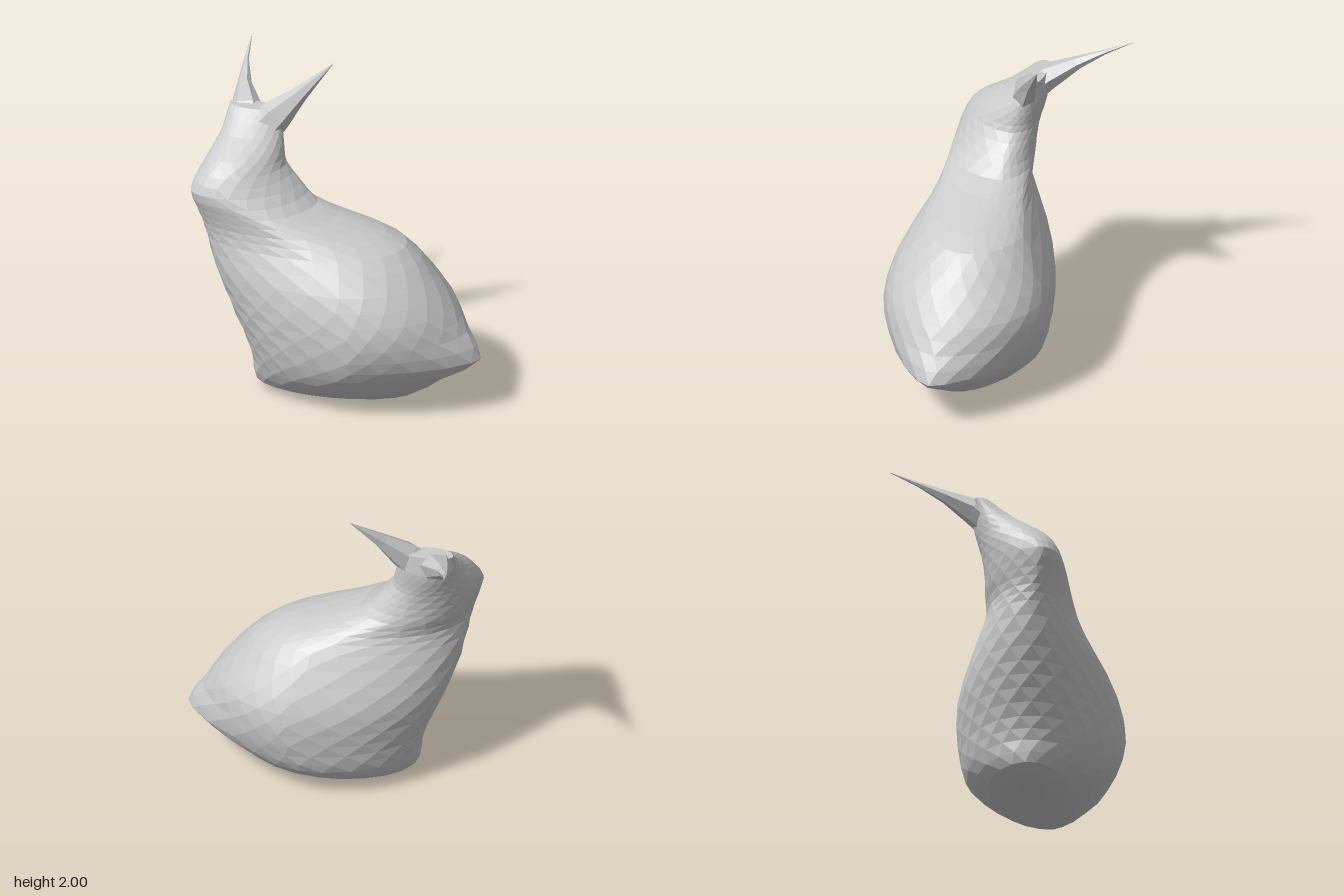
import * as THREE from 'three';

const SEGMENTS = 22;

// Skins closed rings of Vector3 (counter-clockwise around the loft direction) and caps both ends.
function loft(rings) {
  const n = rings[0].length;
  const points = rings.flat();
  const index = [];
  for (let r = 0; r < rings.length - 1; r++) {
    for (let i = 0; i < n; i++) {
      const j = (i + 1) % n;
      const a = r * n + i, b = r * n + j, c = a + n, d = b + n;
      // the diagonals follow the half-step stagger of the rings
      if (r % 2) index.push(a, b, d, a, d, c);
      else index.push(a, b, c, b, d, c);
    }
  }
  const cap = (ring, start, flip) => {
    const centre = new THREE.Vector3();
    ring.forEach((p) => centre.addScaledVector(p, 1 / n));
    const k = points.push(centre) - 1;
    for (let i = 0; i < n; i++) {
      const a = start + i, b = start + (i + 1) % n;
      index.push(k, flip ? b : a, flip ? a : b);
    }
  };
  cap(rings[0], 0, true);
  cap(rings[rings.length - 1], (rings.length - 1) * n, false);
  const geometry = new THREE.BufferGeometry().setFromPoints(points);
  geometry.setIndex(index);
  const flat = geometry.toNonIndexed();
  flat.computeVertexNormals();
  return flat;
}

// Point at angle t of a horizontal slice given by its left, front, right and back extremes.
function slicePoint([y, xL, zL, xF, zF, xR, zR, xB, zB], t) {
  const c = -Math.cos(t), s = Math.sin(t);
  // the right side narrows to a point at tail height
  const sharp = c > 0 ? 1.05 + 0.35 * Math.exp(-(((y - 0.36) / 0.18) ** 2)) : 1;
  const u = Math.abs(c) ** sharp, v = Math.abs(s) ** sharp;
  const xMid = s >= 0 ? xF : xB, zMid = c >= 0 ? zR : zL;
  return new THREE.Vector3(
    xMid + ((c >= 0 ? xR : xL) - xMid) * u,
    y,
    zMid + ((s >= 0 ? zF : zB) - zMid) * v,
  );
}

// Smooth body through the slices: one extra ring between each pair, turned by half a step.
function bodyGeometry(slices) {
  const steps = (slices.length - 1) * 2;
  const rings = Array.from({ length: steps + 1 }, () => []);
  for (let h = 0; h < SEGMENTS * 2; h++) {
    const t = (h / SEGMENTS) * Math.PI;
    const meridian = new THREE.CatmullRomCurve3(slices.map((s) => slicePoint(s, t)));
    for (let r = h % 2; r <= steps; r += 2) rings[r].push(meridian.getPoint(r / steps));
  }
  return loft(rings);
}

// Tapered ear: each row is centre x, y, z, half width along "across", half thickness.
function earGeometry(rows, across) {
  const at = (r) => new THREE.Vector3(r[0], r[1], r[2]);
  const dir = at(rows[rows.length - 1]).sub(at(rows[0])).normalize();
  const u = across.clone().addScaledVector(dir, -across.dot(dir)).normalize();
  const v = dir.clone().cross(u);
  return loft(rows.map((row) => Array.from({ length: 6 }, (_, i) => {
    const t = (i / 6) * Math.PI * 2;
    return at(row).addScaledVector(u, Math.cos(t) * row[3]).addScaledVector(v, Math.sin(t) * row[4]);
  })));
}

export function createModel() {
  const group = new THREE.Group();
  group.name = 'rabbit';
  const material = new THREE.MeshStandardMaterial({ color: 0xcccccc, flatShading: true });
  const add = (name, geometry) => {
    const mesh = new THREE.Mesh(geometry, material);
    mesh.name = name;
    group.add(mesh);
  };

  // Body, neck and head: y, then x/z of the left, front, right and back extremes
  add('bodyAndHead', bodyGeometry([
    [0.00, -0.36, 0.14, -0.20, 0.21, 0.05, 0.14, -0.18, 0.07],
    [0.06, -0.52, 0.15, -0.05, 0.36, 0.46, 0.14, 0.00, -0.16],
    [0.20, -0.54, 0.13, 0.05, 0.52, 0.67, 0.15, 0.10, -0.31],
    [0.34, -0.58, 0.13, 0.15, 0.60, 0.89, 0.15, 0.18, -0.36],
    [0.50, -0.65, 0.14, 0.20, 0.63, 0.80, 0.14, 0.22, -0.385],
    [0.65, -0.71, 0.15, 0.15, 0.62, 0.71, 0.12, 0.20, -0.375],
    [0.82, -0.77, 0.18, 0.05, 0.57, 0.58, 0.12, 0.15, -0.31],
    [1.00, -0.81, 0.22, -0.15, 0.47, 0.40, 0.10, 0.05, -0.21],
    [1.10, -0.83, 0.25, -0.32, 0.43, 0.13, 0.08, -0.15, -0.14],
    [1.20, -0.86, 0.28, -0.50, 0.42, -0.17, 0.05, -0.40, -0.11],
    [1.31, -0.89, 0.30, -0.68, 0.41, -0.28, 0.03, -0.50, -0.10],
    [1.42, -0.86, 0.20, -0.70, 0.36, -0.37, 0.03, -0.55, -0.11],
    [1.50, -0.82, 0.12, -0.68, 0.28, -0.39, 0.01, -0.58, -0.13],
    [1.60, -0.78, 0.00, -0.65, 0.13, -0.41, -0.03, -0.60, -0.15],
    [1.73, -0.76, -0.10, -0.62, -0.02, -0.45, -0.09, -0.60, -0.14],
  ]));

  // Ears, swept back and apart to sharp tips
  add('leftEar', earGeometry([
    [-0.60, 1.52, 0.00, 0.12, 0.09],
    [-0.46, 1.69, -0.06, 0.10, 0.075],
    [-0.33, 1.82, -0.12, 0.05, 0.045],
    [-0.15, 2.00, -0.22, 0.002, 0.002],
  ], new THREE.Vector3(0.74, -0.67, 0)));
  add('rightEar', earGeometry([
    [-0.62, 1.54, 0.00, 0.11, 0.08],
    [-0.67, 1.68, -0.14, 0.10, 0.08],
    [-0.73, 1.765, -0.30, 0.045, 0.04],
    [-0.765, 1.845, -0.46, 0.016, 0.015],
    [-0.78, 1.93, -0.63, 0.002, 0.002],
  ], new THREE.Vector3(1, 0, 0)));

  return group;
}
